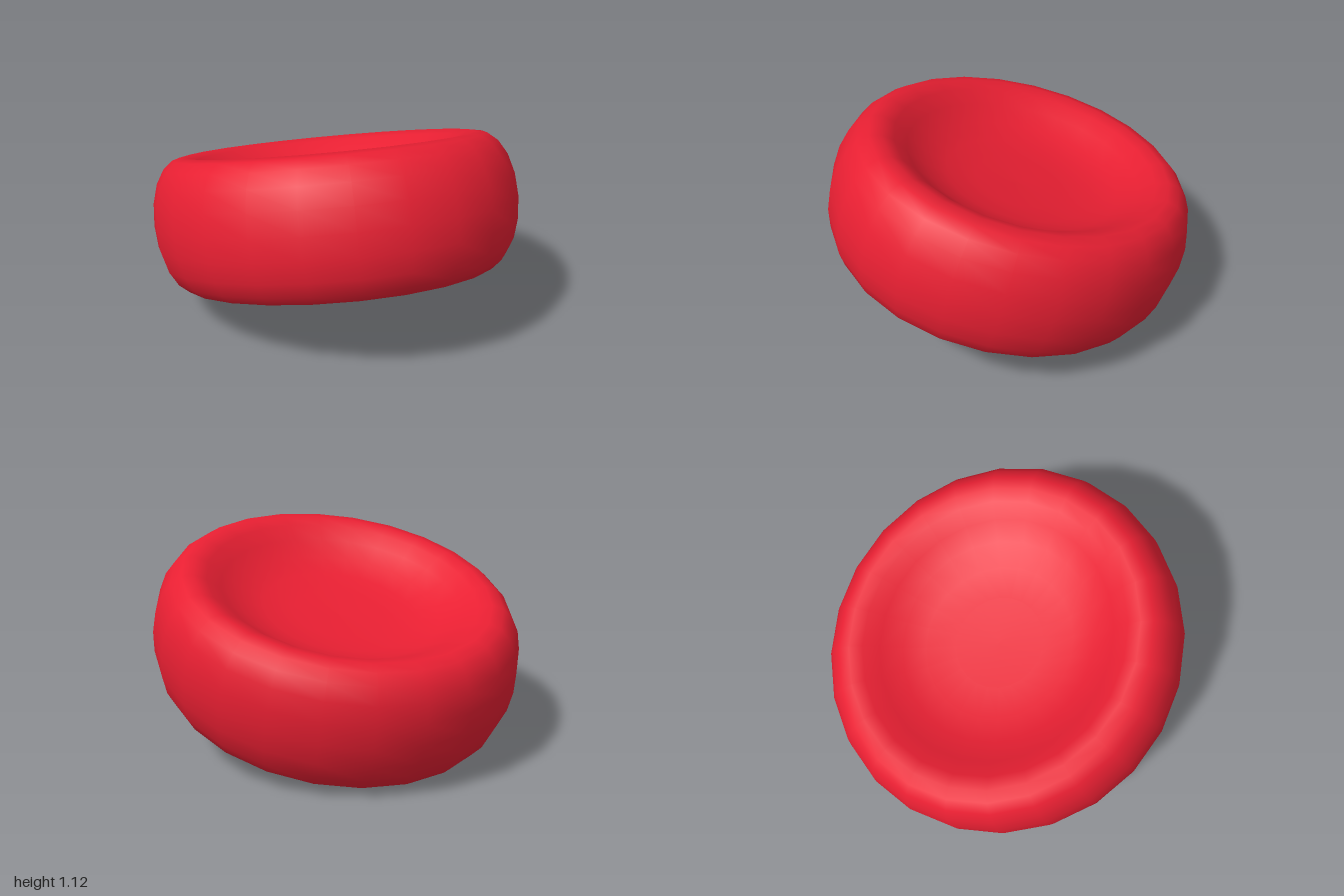
import * as THREE from 'three';

export function createModel() {
  const group = new THREE.Group();
  group.name = 'dimpledDisc';

  // Upper half of the cross-section, from the dish centre out to the widest point [radius, height]
  const half = [
    [0, 0.15], [0.25, 0.155], [0.42, 0.175], [0.55, 0.215], [0.66, 0.28], [0.74, 0.335], [0.81, 0.357],
    [0.875, 0.345], [0.93, 0.3], [0.975, 0.225], [1.005, 0.12],
  ];
  const profile = [
    ...half.map(([r, h]) => new THREE.Vector2(r, -h)),
    new THREE.Vector2(1.015, 0),
    ...half.slice().reverse().map(([r, h]) => new THREE.Vector2(r, h)),
  ];

  // Slightly oval soft body, dished on both faces
  const body = new THREE.LatheGeometry(profile, 24);
  body.scale(0.945, 1, 1);

  // Lean it: high at the front right, low at the back left
  const axis = new THREE.Vector3(0.135, 1, -0.24).normalize();
  const tilt = new THREE.Quaternion().setFromUnitVectors(new THREE.Vector3(0, 1, 0), axis);
  body.applyQuaternion(tilt);

  // Rest on the ground
  body.computeBoundingBox();
  body.translate(0, -body.boundingBox.min.y, 0);

  const mesh = new THREE.Mesh(body, new THREE.MeshStandardMaterial({ color: 0xe81f32 }));
  mesh.name = 'body';
  group.add(mesh);
  return group;
}
